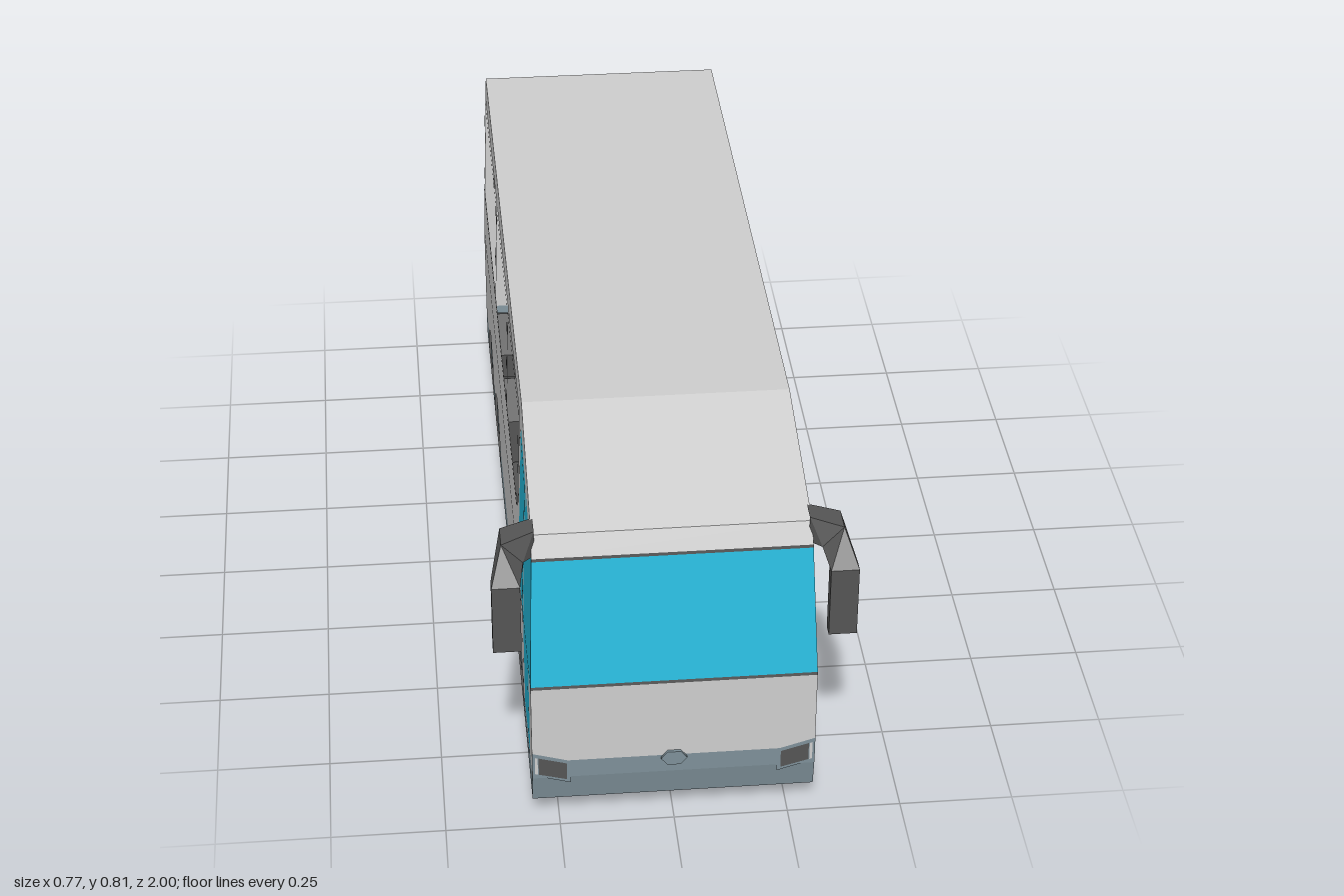
import * as THREE from 'three';

const paint = (name, color) => Object.assign(
  new THREE.MeshStandardMaterial({ color, side: THREE.DoubleSide }), { name });

export function createModel() {
  const body = paint('body silver', 0xcecece);
  const glass = paint('blue glass', 0x24b8da);
  const slate = paint('slate trim', 0x7e9099);
  const dark = paint('dark rubber', 0x555555);
  const coach = new THREE.Group();
  coach.name = 'coach';

  const WHEELS = [-0.745, -0.43, 0.545];
  const BELT = 0.365, BACK = -0.985;
  // half width of the hull: upright below the belt, leaning in above it
  const half = y => 0.308 - Math.max(0, y - BELT) * 0.035;

  const add = (name, geo, mat) => {
    const m = new THREE.Mesh(geo, mat);
    m.name = name;
    coach.add(m);
    return m;
  };
  const shapeOf = (pts, holes = []) => {
    const s = new THREE.Shape(pts.map(p => new THREE.Vector2(...p)));
    s.holes = holes.map(h => new THREE.Path(h.map(p => new THREE.Vector2(...p))));
    return s;
  };
  // flat outline whose points are moved onto the hull by a rule
  const panel = (name, mat, pts, holes, rule) => {
    const g = new THREE.ShapeGeometry(shapeOf(pts, holes));
    const p = g.attributes.position;
    for (let i = 0; i < p.count; i++) p.setXYZ(i, ...rule(p.getX(i), p.getY(i)));
    g.computeVertexNormals();
    return add(name, g, mat);
  };
  const onSide = (s, off = 0) => (z, y) => [s * (half(y) + off), y, z];
  const onBack = (off = 0) => (x, y) => [x, y, BACK - off];
  const rect = (a, b, c, d) => [[a, c], [b, c], [b, d], [a, d]];
  const inset = (pts, t) => {
    const c = [0, 1].map(k => pts.reduce((sum, p) => sum + p[k], 0) / pts.length);
    return pts.map(p => p.map((v, k) => v - Math.sign(v - c[k]) * t));
  };
  // full-width surface following a (z, y) profile
  const strip = (name, mat, profile) => {
    const v = [];
    for (let i = 0; i < profile.length - 1; i++) {
      const [z0, y0] = profile[i], [z1, y1] = profile[i + 1];
      const a = [-half(y0), y0, z0], b = [half(y0), y0, z0];
      const c = [half(y1), y1, z1], d = [-half(y1), y1, z1];
      v.push(...a, ...b, ...c, ...a, ...c, ...d);
    }
    const g = new THREE.BufferGeometry();
    g.setAttribute('position', new THREE.Float32BufferAttribute(v, 3));
    g.computeVertexNormals();
    return add(name, g, mat);
  };

  // nose, windscreen, roof and floor
  strip('frontBumper', slate, [[0.975, 0.055], [0.985, 0.12], [0.985, 0.165]]);
  strip('frontPanel', body, [[0.985, 0.165], [0.985, BELT]]);
  strip('windscreen', glass, [[0.985, BELT], [0.925, 0.66]]);
  strip('windscreenLowerTrim', dark, [[0.987, 0.363], [0.986, 0.37]]);
  strip('windscreenUpperTrim', dark, [[0.9275, 0.656], [0.9265, 0.663]]);
  strip('roof', body, [[0.925, 0.66], [0.905, 0.71], [0.55, 0.81], [BACK, 0.81]]);
  strip('floor', dark, [[BACK + 0.01, 0.055], [0.975, 0.055]]);

  // side walls
  const windows = [[0.065, 0.49], [-0.42, 0.05], [-0.98, -0.44]].map(([a, b]) => rect(a, b, 0.49, 0.75));
  const cabWindow = [[0.55, 0.37], [0.72, 0.37], [0.72, 0.707], [0.55, 0.75]];
  const arches = WHEELS.flatMap(c => [[c - 0.1, 0.125], [c - 0.082, 0.15], [c, 0.187], [c + 0.082, 0.15], [c + 0.1, 0.125]]);
  const door = [[0.73, 0.13], [0.91, 0.13], [0.91, BELT], [0.985, BELT], [0.925, 0.66], [0.73, 0.703]];
  for (const s of [1, -1]) {
    panel('upperWall', body, [[BACK, BELT], [0.73, BELT], [0.73, 0.703], [0.925, 0.66],
      [0.905, 0.71], [0.55, 0.81], [BACK, 0.81]], [...windows, cabWindow], onSide(s));
    panel('lowerWall', body, [[BACK, 0.125], ...arches, [0.985, 0.125], [0.985, BELT], [0.91, BELT],
      [0.91, 0.13], [0.73, 0.13], [0.73, BELT], [BACK, BELT]], [], onSide(s));
    panel('doorLower', glass, rect(0.73, 0.91, 0.13, BELT), [], onSide(s));
    panel('doorUpper', glass, [[0.73, BELT], ...door.slice(3)], [], onSide(s));
    // dark lines around the door and the openings
    panel('doorRearTrim', dark, rect(0.724, 0.731, BELT, 0.703), [], onSide(s, 0.002));
    panel('doorRearLowerTrim', dark, rect(0.726, 0.731, 0.127, BELT), [], onSide(s, 0.002));
    panel('doorSillTrim', dark, rect(0.726, 0.912, 0.126, 0.131), [], onSide(s, 0.002));
    panel('doorFrontTrim', dark, rect(0.909, 0.913, 0.127, BELT), [], onSide(s, 0.002));
    for (const w of [...windows, cabWindow]) panel('windowTrim', dark, w, [inset(w, 0.005)], onSide(s, 0.002));
    if (s < 0) panel('cabWindow', glass, cabWindow, [], onSide(s));
    // skirt pieces between the wheels
    const ends = [null, ...WHEELS, null];
    for (let i = 0; i < 4; i++) {
      const a = ends[i], b = ends[i + 1];
      panel('skirt', slate, [
        [a === null ? BACK + 0.01 : a + 0.13, 0.055], [b === null ? 0.975 : b - 0.13, 0.055],
        [b === null ? 0.985 : b - 0.1, 0.125], [a === null ? BACK : a + 0.1, 0.125]], [], onSide(s));
    }
  }

  // back wall with its open window
  const backWindow = rect(-0.28, 0.28, 0.49, 0.75);
  panel('backLower', body, rect(-0.308, 0.308, 0.125, BELT), [], onBack());
  panel('backUpper', body, [[-0.308, BELT], [0.308, BELT], [half(0.81), 0.81], [-half(0.81), 0.81]], [backWindow], onBack());
  panel('backWindowTrim', dark, backWindow, [inset(backWindow, 0.005)], onBack(0.002));
  strip('backSkirt', slate, [[BACK, 0.125], [BACK + 0.01, 0.055]]);

  // wheels: six-sided ring tyre, rim and hub
  const hex = (r, z = 0, y = 0) => Array.from({ length: 6 }, (_, i) => {
    const a = Math.PI / 6 + i * Math.PI / 3;
    return [z + r * Math.cos(a), y + r * Math.sin(a)];
  });
  const tyreGeo = new THREE.ExtrudeGeometry(shapeOf(hex(0.123), [hex(0.066)]), { depth: 0.06, bevelEnabled: false });
  tyreGeo.translate(0, 0, -0.03).rotateY(Math.PI / 2);
  const disc = (r, n, depth) => new THREE.CylinderGeometry(r, r, depth, n).toNonIndexed().rotateZ(Math.PI / 2);
  const rimGeo = disc(0.066, 6, 0.03), hubGeo = disc(0.038, 8, 0.02);
  rimGeo.rotateX(Math.PI / 2);
  for (const s of [1, -1]) for (const z of WHEELS) {
    add('tyre', tyreGeo, dark).position.set(s * 0.262, 0.123, z);
    add('rim', rimGeo, slate).position.set(s * 0.279, 0.123, z);
    add('hub', hubGeo, slate).position.set(s * 0.297, 0.123, z);
    panel('hubRing', dark, hex(0.043, z, 0.123), [], (a, y) => [s * 0.2955, y, a]);
  }

  // mirrors: each section is [outer x, outer y, inner x, inner y, back z, front z]
  const sections = [
    [0.29, 0.722, 0.29, 0.66, 0.86, 0.91], [0.36, 0.71, 0.315, 0.662, 0.875, 0.935],
    [0.385, 0.645, 0.325, 0.645, 0.972, 1], [0.385, 0.48, 0.325, 0.48, 0.972, 1]];
  for (const s of [1, -1]) {
    const v = [], idx = [];
    for (const [ox, oy, ix, iy, zb, zf] of sections)
      v.push(s * ox, oy, zb, s * ox, oy, zf, s * ix, iy, zf, s * ix, iy, zb);
    const quad = (a, b, c, d) => idx.push(...(s > 0 ? [a, c, b, a, d, c] : [a, b, c, a, c, d]));
    for (let i = 0; i < 3; i++) for (let k = 0; k < 4; k++) {
      const n = (k + 1) % 4;
      quad(i * 4 + k, i * 4 + n, i * 4 + 4 + n, i * 4 + 4 + k);
    }
    quad(12, 13, 14, 15);
    let g = new THREE.BufferGeometry();
    g.setAttribute('position', new THREE.Float32BufferAttribute(v, 3));
    g.setIndex(idx);
    g = g.toNonIndexed();
    g.computeVertexNormals();
    add('mirror', g, dark);
  }

  // lamps and front cap
  for (const s of [1, -1]) {
    const front = off => (x, y) => [s * x, y, 0.985 + off];
    panel('headlampFrame', slate, [[0.308, 0.19], [0.225, 0.165], [0.225, 0.105], [0.308, 0.13]], [], front(0.002));
    panel('headlampLens', dark, [[0.294, 0.178], [0.233, 0.16], [0.233, 0.116], [0.294, 0.133]], [], front(0.004));
    panel('headlampSide', body, [[0.302, 0.18], [0.296, 0.178], [0.296, 0.133], [0.302, 0.135]], [], front(0.004));
    for (const y of [0.33, 0.388]) {
      const r = rect(0.252, 0.294, y, y + 0.052);
      const frame = new THREE.ExtrudeGeometry(shapeOf(r, [inset(r, 0.01)]), { depth: 0.012, bevelEnabled: false });
      const m = add('tailLampFrame', frame, slate);
      m.position.set(s > 0 ? 0 : -0.546, 0, -0.998);
    }
  }
  const cap = add('frontCap', new THREE.CylinderGeometry(0.026, 0.026, 0.008, 6), slate);
  cap.geometry.rotateX(Math.PI / 2).rotateZ(Math.PI / 2).scale(1.1, 0.78, 1);
  cap.position.set(0, 0.16, 0.988);

  return coach;
}
